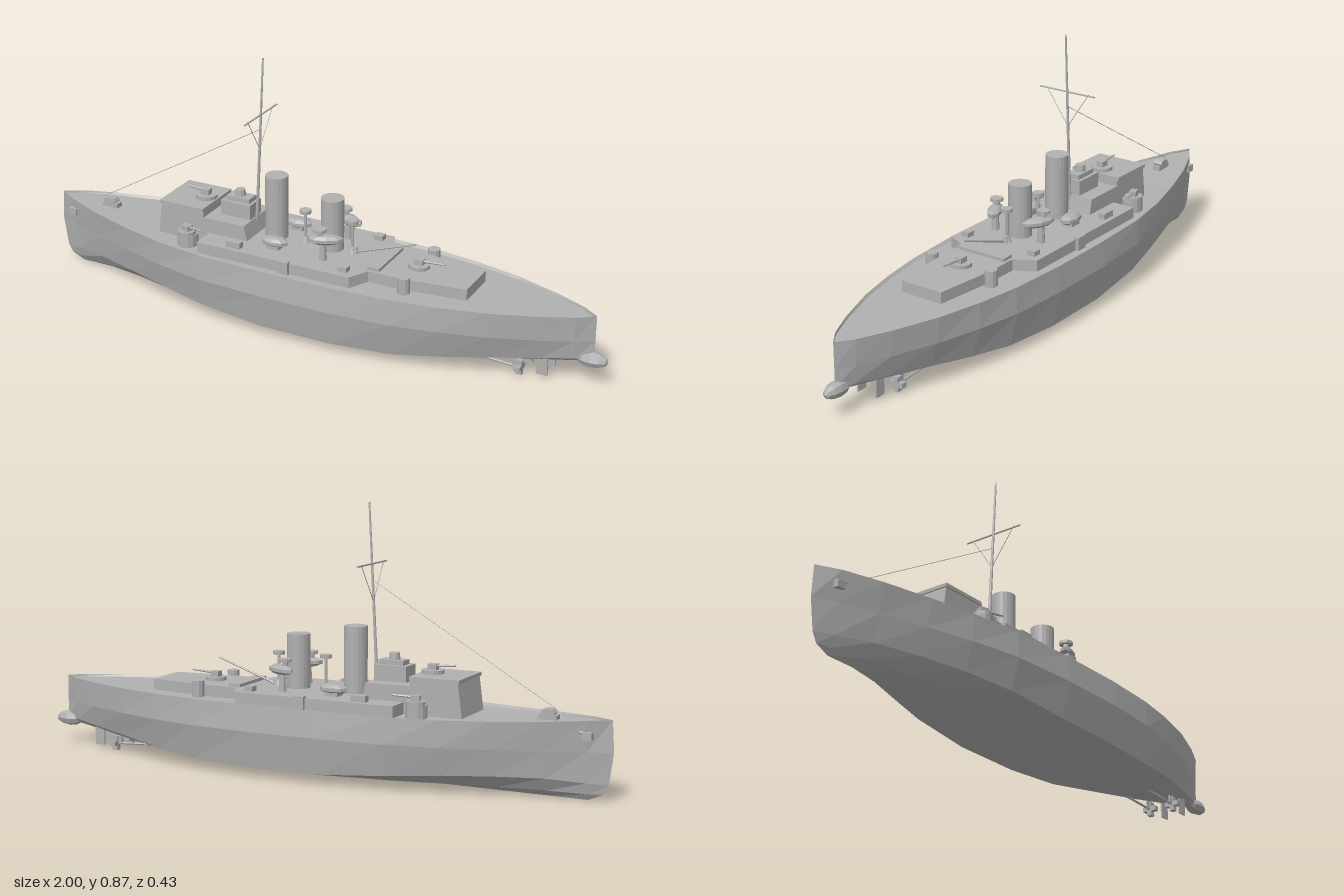
import * as THREE from 'three';

const grey = new THREE.MeshStandardMaterial({ color: 0xb0b0b0, flatShading: true, side: THREE.DoubleSide });
grey.name = 'naval grey';

function add(parent, name, geometry, x = 0, y = 0, z = 0) {
  const mesh = new THREE.Mesh(geometry, grey);
  mesh.name = name;
  mesh.position.set(x, y, z);
  parent.add(mesh);
  return mesh;
}

// box given by its extents
function box(parent, name, x0, x1, y0, y1, z0, z1) {
  return add(parent, name, new THREE.BoxGeometry(x1 - x0, y1 - y0, z1 - z0), (x0 + x1) / 2, (y0 + y1) / 2, (z0 + z1) / 2);
}

// upright cylinder given by base and top heights
function post(parent, name, x, z, y0, y1, r, rTop = r, sides = 12) {
  return add(parent, name, new THREE.CylinderGeometry(rTop, r, y1 - y0, sides), x, (y0 + y1) / 2, z);
}

// rod between two points
function rod(parent, name, a, b, r, rEnd = r, sides = 6) {
  const p = new THREE.Vector3(...a), q = new THREE.Vector3(...b), d = q.clone().sub(p);
  const mesh = add(parent, name, new THREE.CylinderGeometry(rEnd, r, d.length(), sides));
  mesh.position.copy(p).add(q).multiplyScalar(0.5);
  mesh.quaternion.setFromUnitVectors(new THREE.Vector3(0, 1, 0), d.normalize());
  return mesh;
}

function hullGeometry() {
  // x, keel y, bilge y, bilge z, waist z, deck z, deck y
  const stations = [
    [-0.99, 0.005, 0.05, 0, 0, 0, 0.25],
    [-0.92, 0, 0.055, 0.022, 0.03, 0.042, 0.248],
    [-0.8, 0, 0.065, 0.06, 0.075, 0.09, 0.243],
    [-0.65, 0, 0.065, 0.105, 0.125, 0.135, 0.238],
    [-0.5, 0, 0.06, 0.145, 0.168, 0.172, 0.235],
    [-0.33, 0, 0.048, 0.18, 0.203, 0.2, 0.235],
    [-0.1, 0, 0.032, 0.196, 0.217, 0.21, 0.235],
    [0.15, 0, 0.03, 0.194, 0.217, 0.21, 0.235],
    [0.35, 0.004, 0.035, 0.175, 0.203, 0.198, 0.235],
    [0.5, 0.014, 0.05, 0.145, 0.175, 0.175, 0.235],
    [0.65, 0.032, 0.066, 0.105, 0.134, 0.14, 0.235],
    [0.8, 0.055, 0.08, 0.058, 0.079, 0.086, 0.235],
    [0.9, 0.07, 0.088, 0.024, 0.034, 0.04, 0.235],
    [0.955, 0.08, 0.092, 0, 0, 0, 0.235],
  ];
  const positions = [], index = [], ring = 9 + 2;
  stations.forEach(([x, ky, by, bz, wz, dz, dy], i) => {
    const stem = i === 0 ? [0, 0, -0.006, 0.008, 0.06] : [0, 0, 0, 0, 0];
    const half = [
      [x, dy - 0.008, dz * 0.95],
      [x, dy, dz],
      [x + stem[2], 0.15, wz],
      [x + stem[3], by, bz],
      [x + stem[4] * 0.4, by * 0.35 + ky * 0.65, bz * 0.55],
    ];
    half.forEach(p => positions.push(...p));
    positions.push(x + stem[4], ky, 0);
    half.reverse().forEach(([px, py, pz]) => positions.push(px, py, -pz));
  });
  // skin between neighbouring sections; the last strip is the deck
  for (let i = 0; i < stations.length - 1; i++) {
    for (let j = 0; j < ring; j++) {
      const k = (j + 1) % ring;
      const a = i * ring + j, c = i * ring + k, b = a + ring, d = c + ring;
      index.push(a, c, b, b, c, d);
    }
  }
  const g = new THREE.BufferGeometry();
  g.setAttribute('position', new THREE.Float32BufferAttribute(positions, 3));
  g.setIndex(index);
  const flat = g.toNonIndexed();
  flat.computeVertexNormals();
  return flat;
}

// plan outline (half, +z) mirrored and raised to a deckhouse
function deckhouse(parent, name, half, y0, y1) {
  const all = [...half, ...half.slice().reverse().map(([x, z]) => [x, -z])];
  const shape = new THREE.Shape(all.map(([x, z]) => new THREE.Vector2(x, z)));
  const g = new THREE.ExtrudeGeometry(shape, { depth: y1 - y0, bevelEnabled: false });
  g.rotateX(-Math.PI / 2);
  return add(parent, name, g, 0, y0, 0);
}

// pedestal gun pointing along +x before turning
function gun(parent, name, x, y, z, angle, r, length) {
  const g = new THREE.Group();
  g.name = name;
  post(g, 'gunBase', 0, 0, 0, 0.012, r, r, 14);
  box(g, 'gunMount', -0.014, 0.016, 0.012, 0.03, -0.012, 0.012);
  rod(g, 'gunBarrel', [0.01, 0.024, 0], [length, 0.028, 0], 0.005, 0.003);
  g.position.set(x, y, z);
  g.rotation.y = angle;
  parent.add(g);
}

// ship's boat with a pointed, tapered body
function boat(parent, x, y, z, length, width, angle) {
  const g = new THREE.SphereGeometry(0.5, 8, 5);
  g.scale(length, 0.034, width);
  add(parent, 'boat', g, x, y, z).rotation.y = angle;
}

export function createModel() {
  const ship = new THREE.Group();
  ship.name = 'warship';
  add(ship, 'hull', hullGeometry());

  // stern bulb
  const bulb = new THREE.SphereGeometry(1, 8, 6);
  bulb.rotateZ(Math.PI / 2);
  bulb.scale(0.052, 0.026, 0.026);
  add(ship, 'sternBulb', bulb, 0.948, 0.085, 0);

  // deckhouses
  deckhouse(ship, 'midshipHouse', [[-0.35, 0.168], [0.2, 0.168], [0.235, 0.1], [0.34, 0.1], [0.56, 0.075]], 0.222, 0.264);
  const side = new THREE.Shape([[-0.545, 0.222], [-0.2, 0.222], [-0.22, 0.315], [-0.37, 0.315], [-0.37, 0.335], [-0.53, 0.335]]
    .map(p => new THREE.Vector2(...p)));
  const fore = new THREE.ExtrudeGeometry(side, { depth: 0.176, bevelEnabled: false });
  add(ship, 'foreHouse', fore, 0, 0, -0.088);
  box(ship, 'foreRoof', -0.535, -0.37, 0.335, 0.346, -0.093, 0.093);
  box(ship, 'bridge', -0.335, -0.225, 0.315, 0.365, -0.036, 0.036);
  box(ship, 'bridgeRoof', -0.32, -0.235, 0.365, 0.38, -0.024, 0.024);
  post(ship, 'rangefinder', -0.28, 0, 0.38, 0.402, 0.018, 0.016, 10);
  box(ship, 'skylight', 0.225, 0.268, 0.262, 0.274, -0.09, 0.09);

  // funnels
  post(ship, 'foreFunnel', -0.145, 0, 0.25, 0.478, 0.038, 0.038, 20);
  post(ship, 'aftFunnel', 0.058, 0, 0.25, 0.44, 0.038, 0.038, 20);

  // searchlight platforms
  for (const x of [-0.04, 0.13]) {
    post(ship, 'searchlightPost', x, 0, 0.26, 0.366, 0.005);
    post(ship, 'searchlightFoot', x, 0, 0.26, 0.285, 0.018, 0.008);
    post(ship, 'searchlightPlatform', x, 0, 0.366, 0.378, 0.019);
  }

  // guns on the centreline
  gun(ship, 'foreGun', -0.41, 0.346, 0, Math.PI, 0.036, 0.075);
  gun(ship, 'aftGun', 0.365, 0.264, 0, 0, 0.034, 0.09);

  // paired fittings
  for (const s of [1, -1]) {
    post(ship, 'sideGunPlatform', -0.41, s * 0.125, 0.225, 0.268, 0.034, 0.034, 12);
    gun(ship, 'sideGun', -0.41, 0.268, s * 0.13, s * -0.25, 0.03, 0.075);
    post(ship, 'quarterGunStand', 0.365, s * 0.115, 0.225, 0.28, 0.02, 0.02, 10);
    boat(ship, -0.108, 0.285, s * 0.082, 0.1, 0.058, 0);
    box(ship, 'boatChock', -0.13, -0.085, 0.262, 0.28, s * 0.082 - 0.02, s * 0.082 + 0.02);
    boat(ship, 0.078, 0.333, s * 0.085, 0.12, 0.05, s * 0.45);
    post(ship, 'boatPedestal', 0.07, s * 0.09, 0.26, 0.325, 0.014, 0.01, 8);
    post(ship, 'ventShaft', 0.06, s * 0.092, 0.33, 0.36, 0.01, 0.01, 8);
    post(ship, 'ventCap', 0.06, s * 0.092, 0.36, 0.37, 0.022, 0.022, 8);
    box(ship, 'gangwayBox', -0.05, -0.01, 0.225, 0.27, s * 0.17 - 0.01, s * 0.17 + 0.01);
    box(ship, 'lockerFore', -0.25, -0.2, 0.264, 0.284, s * 0.14 - 0.012, s * 0.14 + 0.012);
    box(ship, 'lockerAft', 0.15, 0.18, 0.264, 0.28, s * 0.13 - 0.014, s * 0.13 + 0.014);

    // anchor at the bow
    rod(ship, 'anchorShank', [-0.9, 0.215, s * 0.04], [-0.935, 0.2, s * 0.037], 0.006);
    box(ship, 'anchorCrown', -0.94, -0.91, 0.19, 0.214, s * 0.036 - 0.01, s * 0.036 + 0.01);

    // rudders, shafts and propellers
    box(ship, 'rudder', 0.785, 0.82, 0.012, 0.075, s * 0.035 - 0.003, s * 0.035 + 0.003);
    rod(ship, 'propellerShaft', [0.55, 0.035, s * 0.045], [0.735, 0.025, s * 0.045], 0.004);
    box(ship, 'shaftBracket', 0.71, 0.725, 0.022, 0.075, s * 0.045 - 0.003, s * 0.045 + 0.003);
    for (let i = 0; i < 2; i++) {
      const blade = box(ship, 'propellerBlade', 0.722, 0.742, 0.002, 0.05, s * 0.045 - 0.008, s * 0.045 + 0.008);
      blade.rotation.x = i * Math.PI / 2;
    }
    rod(ship, 'yardBrace', [-0.202, 0.68, s * 0.083], [-0.206, 0.557, 0], 0.0012);
  }

  // mast, yard and rigging
  rod(ship, 'mast', [-0.222, 0.26, 0], [-0.19, 0.868, 0], 0.006, 0.003, 8);
  rod(ship, 'yard', [-0.2, 0.676, -0.106], [-0.2, 0.676, 0.106], 0.003);
  rod(ship, 'forestay', [-0.203, 0.625, 0], [-0.82, 0.265, 0], 0.001, 0.001, 4);

  // cargo boom
  rod(ship, 'boom', [0.14, 0.268, 0], [0.352, 0.34, 0], 0.004, 0.003);
  post(ship, 'boomFoot', 0.14, 0, 0.262, 0.285, 0.012, 0.008, 8);

  // foredeck windlass and flagstaffs
  box(ship, 'windlassBase', -0.82, -0.76, 0.23, 0.25, -0.014, 0.014);
  const drum = rod(ship, 'windlassDrum', [-0.79, 0.256, -0.016], [-0.79, 0.256, 0.016], 0.014, 0.014, 8);
  drum.scale.x = 1.6;
  return ship;
}
